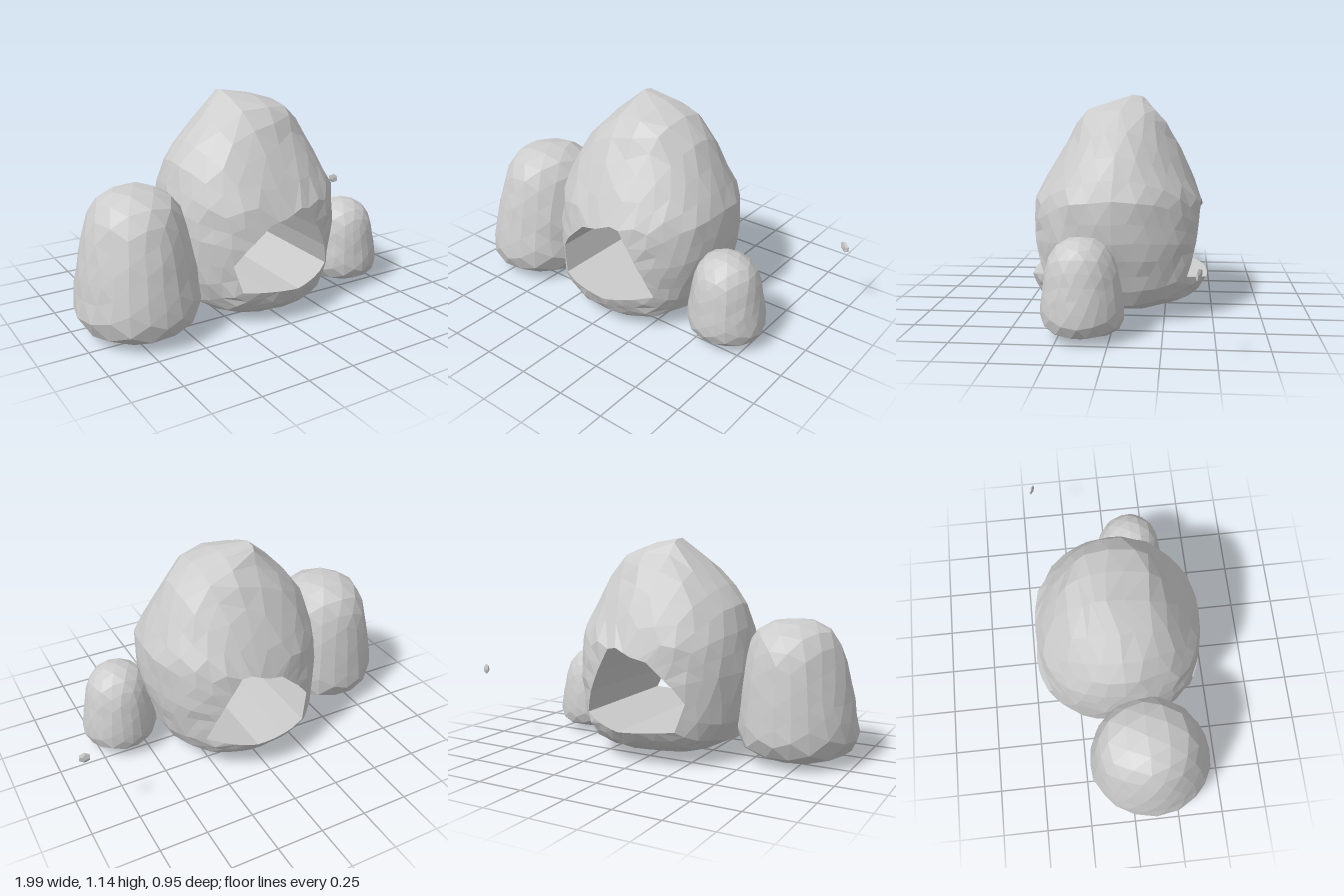
import * as THREE from 'three';
import { mergeVertices } from 'three/addons/utils/BufferGeometryUtils.js';

const material = new THREE.MeshStandardMaterial({ color: 0xcccccc, flatShading: true });

// Repeatable jitter of a position, so coincident vertices stay together
function jitter(point, amount) {
  const [a, b, c] = point.map((v) => Math.round(v * 1000));
  return point.map((v, k) => {
    const s = Math.sin(a * 1.27 + b * 3.11 + c * 0.74 + k * 17.3) * 43758.5453;
    return v + amount * ((s - Math.floor(s)) * 2 - 1);
  });
}

function addMesh(group, name, geometry) {
  const mesh = new THREE.Mesh(geometry, material);
  mesh.name = name;
  group.add(mesh);
  return mesh;
}

// Arch rock sections: height, left x, right x, back z, front z
const sections = [
  [0.014, -0.1, 0.12, -0.1, 0.25],
  [0.04, -0.28, 0.28, -0.25, 0.38],
  [0.09, -0.39, 0.39, -0.4, 0.44],
  [0.18, -0.44, 0.43, -0.475, 0.478],
  [0.4, -0.475, 0.49, -0.455, 0.468],
  [0.62, -0.46, 0.493, -0.44, 0.45],
  [0.8, -0.41, 0.41, -0.355, 0.345],
  [0.92, -0.33, 0.345, -0.29, 0.275],
  [1.045, -0.195, 0.285, -0.215, 0.21],
  [1.08, -0.16, 0.2, -0.18, 0.14],
  [1.12, -0.125, 0.04, -0.14, 0.03],
  [1.14, -0.1, -0.05, -0.11, -0.06],
];

// Outline of the tunnel, anticlockwise
const hole = [
  [-0.28, 0.34], [-0.24, 0.2], [-0.1, 0.19], [0.06, 0.175], [0.31, 0.23], [0.27, 0.35],
  [0.21, 0.47], [0.14, 0.59], [0.09, 0.6], [0, 0.56], [-0.09, 0.54], [-0.22, 0.42],
];

function sectionAt(y) {
  let i = 0;
  while (i < sections.length - 2 && y > sections[i + 1][0]) i++;
  const [a, b] = [sections[i], sections[i + 1]];
  const t = THREE.MathUtils.clamp((y - a[0]) / (b[0] - a[0]), 0, 1);
  return a.map((v, k) => v + (b[k] - v) * t);
}

// Distance from a centre to a polygon along a direction
function rayToOutline(cx, cy, dx, dy, outline) {
  let best = 0;
  outline.forEach(([ax, ay], i) => {
    const [bx, by] = outline[(i + 1) % outline.length];
    const [ex, ey] = [bx - ax, by - ay];
    const det = dx * ey - dy * ex;
    if (Math.abs(det) < 1e-9) return;
    const t = ((ax - cx) * ey - (ay - cy) * ex) / det;
    const s = ((ax - cx) * dy - (ay - cy) * dx) / det;
    if (t > 0 && s >= -1e-6 && s <= 1 + 1e-6) best = Math.max(best, t);
  });
  return best;
}

// Loops around the tunnel: front face out to the silhouette, back face in, then straight through
function archGeometry() {
  const cx = 0.03, cy = 0.36, steps = 6, ring = 2 * (steps + 1);
  const silhouette = [
    ...sections.map((s) => [s[2], s[0]]),
    ...sections.map((s) => [s[1], s[0]]).reverse(),
  ];

  // Rays pass through every corner of the tunnel, with wide gaps subdivided
  const angles = [];
  hole.forEach(([x, y], i) => {
    const [nx, ny] = hole[(i + 1) % hole.length];
    const start = Math.atan2(y - cy, x - cx);
    let gap = Math.atan2(ny - cy, nx - cx) - start;
    if (gap < 0) gap += Math.PI * 2;
    const parts = Math.max(1, Math.round(gap / 0.2));
    for (let k = 0; k < parts; k++) angles.push(start + (gap * k) / parts);
  });

  const positions = [], index = [];
  angles.forEach((a, i) => {
    const dx = Math.cos(a), dy = Math.sin(a);
    const inner = rayToOutline(cx, cy, dx, dy, hole);
    const outer = rayToOutline(cx, cy, dx, dy, silhouette);
    const addPoint = (j, side) => {
      const stagger = j > 0 && j < steps ? (i % 2) * 0.4 - 0.2 : 0;
      const r = inner + (outer - inner) * (1 - (1 - (j + stagger) / steps) ** 2);
      const x = cx + dx * r, y = cy + dy * r;
      const [, xl, xr, zb, zf] = sectionAt(y);
      const q = Math.min(1, Math.abs((2 * x - xl - xr) / (xr - xl)));
      // Squarer plan near the ground, rounder towards the top
      const power = 2.35 - 0.3 * y;
      const depth = ((zf - zb) / 2) * (1 - q ** power) ** (1 / power);
      positions.push(...jitter([x, y, (zf + zb) / 2 + side * depth], j > 0 ? 0.006 : 0));
    };
    for (let j = 0; j <= steps; j++) addPoint(j, 1);
    for (let j = steps; j >= 0; j--) addPoint(j, -1);
    for (let j = 0; j < ring; j++) {
      const n = (i + 1) % angles.length, k = (j + 1) % ring;
      const [p, q, r, s] = [i * ring + j, i * ring + k, n * ring + k, n * ring + j];
      if ((i % 2 === 1) === (j <= steps)) index.push(p, q, r, p, r, s);
      else index.push(p, q, s, q, r, s);
    }
  });
  const geometry = new THREE.BufferGeometry();
  geometry.setAttribute('position', new THREE.Float32BufferAttribute(positions, 3));
  geometry.setIndex(index);
  geometry.computeVertexNormals();
  return geometry;
}

// Faceted boulder: a sphere wrapped onto a [radius, height] profile, its top leaning aside
function boulderGeometry(profile, depthScale, leanX, leanZ, rough) {
  const curve = new THREE.CatmullRomCurve3(profile.map(([r, y]) => new THREE.Vector3(r, y, 0)));
  const sphere = new THREE.IcosahedronGeometry(1, 3);
  sphere.deleteAttribute('normal');
  sphere.deleteAttribute('uv');
  const geometry = mergeVertices(sphere, 1e-4);
  const p = geometry.attributes.position;
  const v = new THREE.Vector3();
  for (let i = 0; i < p.count; i++) {
    v.fromBufferAttribute(p, i).normalize();
    const { x: r, y } = curve.getPointAt(1 - Math.acos(v.y) / Math.PI);
    const a = Math.atan2(v.z, v.x);
    const point = [Math.cos(a) * r + leanX * y, y, Math.sin(a) * r * depthScale + leanZ * y];
    p.setXYZ(i, ...jitter(point, rough));
  }
  geometry.computeVertexNormals();
  return geometry;
}

export function createModel() {
  const group = new THREE.Group();
  group.name = 'rockArch';

  addMesh(group, 'archRock', archGeometry());

  const large = [
    [0, 0.007], [0.15, 0.018], [0.25, 0.042], [0.302, 0.085], [0.318, 0.15], [0.302, 0.29],
    [0.276, 0.44], [0.236, 0.6], [0.195, 0.675], [0.12, 0.72], [0, 0.735],
  ];
  addMesh(group, 'largeBoulder', boulderGeometry(large, 1.08, 0.03, -0.06, 0.004))
    .position.set(-0.686, 0, 0.128);

  const small = [
    [0, 0.024], [0.1, 0.03], [0.17, 0.048], [0.198, 0.085], [0.203, 0.13], [0.188, 0.25],
    [0.16, 0.38], [0.12, 0.445], [0.065, 0.477], [0, 0.488],
  ];
  addMesh(group, 'smallBoulder', boulderGeometry(small, 1, -0.03, 0.02, 0.003))
    .position.set(0.609, 0, 0.13);

  // Loose thin stone chip beside the rocks
  const chip = addMesh(group, 'stoneChip', new THREE.DodecahedronGeometry(0.034).scale(1, 0.8, 0.25));
  chip.position.set(0.968, 0.408, -0.413);
  chip.rotation.set(0, -0.4, -0.6);

  return group;
}
